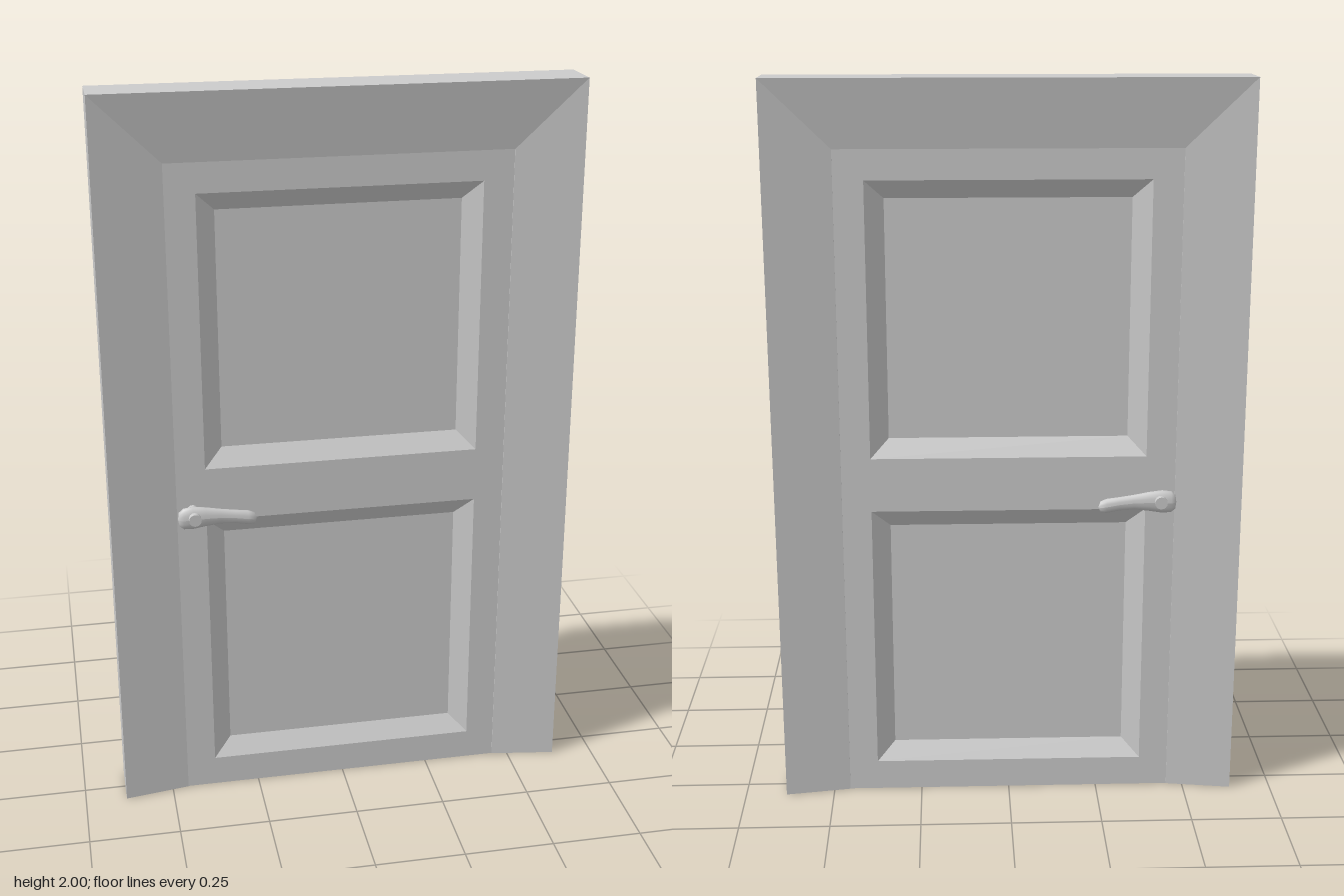
import * as THREE from 'three';

const material = new THREE.MeshStandardMaterial({ color: 0xcccccc, side: THREE.DoubleSide });
const flat = new THREE.MeshStandardMaterial({ color: 0xcccccc, side: THREE.DoubleSide, flatShading: true });

function mesh(name, geometry, mat = material) {
  const m = new THREE.Mesh(geometry, mat);
  m.name = name;
  return m;
}

// Turns a list of four-cornered faces into a flat-sided geometry.
function quads(faces) {
  const pos = [];
  for (const [a, b, c, d] of faces) pos.push(...a, ...b, ...c, ...a, ...c, ...d);
  const g = new THREE.BufferGeometry();
  g.setAttribute('position', new THREE.Float32BufferAttribute(pos, 3));
  g.computeVertexNormals();
  return g;
}

const rect = (hw, y0, y1, z) => [[-hw, y0, z], [hw, y0, z], [hw, y1, z], [-hw, y1, z]];

const FACE = 0.035; // half thickness of the slab
const PANELS = [[0.085, 0.84], [0.99, 1.74]];

// Casing: a tapered section carried up, across and down with mitred corners
function casing() {
  const outer = [[0.635, 0], [0.635, 2], [-0.635, 2], [-0.635, 0]];
  const inner = [[0.455, 0], [0.455, 1.82], [-0.455, 1.82], [-0.455, 0]];
  const rings = outer.map((o, i) => [
    [...o, 0.065], [...inner[i], FACE + 0.002], [...inner[i], -FACE - 0.002], [...o, -0.065],
  ]);
  const faces = [[...rings[0]], [...rings[3]].reverse()];
  for (let i = 0; i < 3; i++) {
    for (let k = 0; k < 4; k++) {
      const n = (k + 1) % 4;
      faces.push([rings[i][k], rings[i + 1][k], rings[i + 1][n], rings[i][n]]);
    }
  }
  return mesh('casing', quads(faces), flat);
}

// One side of the slab: flat rails with two bevelled, sunken panels
function slabSide(name) {
  const side = new THREE.Group();
  side.name = name;
  const path = (hw, y0, y1, target) => {
    target.setFromPoints(rect(hw, y0, y1, 0).map(([x, y]) => new THREE.Vector2(x, y)));
    return target;
  };
  const shape = path(0.455, 0, 1.82, new THREE.Shape());
  for (const [y0, y1] of PANELS) shape.holes.push(path(0.375, y0, y1, new THREE.Path()));
  const rails = new THREE.ShapeGeometry(shape);
  rails.translate(0, 0, FACE);
  side.add(mesh('rails', rails, flat));

  for (const [y0, y1] of PANELS) {
    const rim = rect(0.375, y0, y1, FACE);
    const sunk = rect(0.325, y0 + 0.05, y1 - 0.05, 0.003);
    const faces = [sunk];
    for (let k = 0; k < 4; k++) {
      const n = (k + 1) % 4;
      faces.push([rim[k], rim[n], sunk[n], sunk[k]]);
    }
    side.add(mesh('sunkenPanel', quads(faces), flat));
  }
  return side;
}

// Lever handle: a lathe laid along x, flattened and gently bent
function handle(name) {
  const g = new THREE.Group();
  g.name = name;
  const outline = [[0, 0], [0.02, 0.003], [0.03, 0.015], [0.032, 0.04], [0.027, 0.075],
    [0.021, 0.115], [0.019, 0.155], [0.02, 0.19], [0.016, 0.207], [0, 0.213]];
  const lever = new THREE.LatheGeometry(outline.map(([r, t]) => new THREE.Vector2(r, t)), 16);
  const p = lever.attributes.position;
  for (let i = 0; i < p.count; i++) {
    const t = p.getY(i);
    const u = t / 0.213;
    const bend = 0.008 * Math.sin(Math.PI * u) - 0.013 * u;
    const depth = 0.5 + 0.2 * u;
    p.setXYZ(i, -0.456 + t, 0.868 + bend - p.getX(i), p.getZ(i) * depth);
  }
  lever.computeVertexNormals();
  g.add(mesh('lever', lever));

  // Spindle reaching back to the slab, and the button on the front
  for (const [part, r, z0, z1] of [['spindle', 0.016, -0.042, 0], ['button', 0.017, 0, 0.028]]) {
    const c = new THREE.CylinderGeometry(r, r, z1 - z0, 16);
    c.rotateX(Math.PI / 2);
    c.translate(-0.412, 0.873, (z0 + z1) / 2);
    g.add(mesh(part, c));
  }
  return g;
}

export function createModel() {
  const model = new THREE.Group();
  model.name = 'panelDoor';

  // Casing and slab lean back very slightly
  const body = new THREE.Group();
  body.name = 'doorBody';
  const back = slabSide('slabBack');
  back.rotation.y = Math.PI;
  const sill = quads([[[-0.455, 0, -FACE], [0.455, 0, -FACE], [0.455, 0, FACE], [-0.455, 0, FACE]]]);
  body.add(casing(), slabSide('slabFront'), back, mesh('slabBottom', sill, flat));
  body.rotation.x = -0.0065;
  model.add(body);

  // Matching handles on both sides
  const front = handle('frontHandle');
  front.position.z = 0.07;
  const rear = handle('backHandle');
  rear.position.z = -0.07;
  rear.scale.z = -1;
  model.add(front, rear);
  return model;
}
